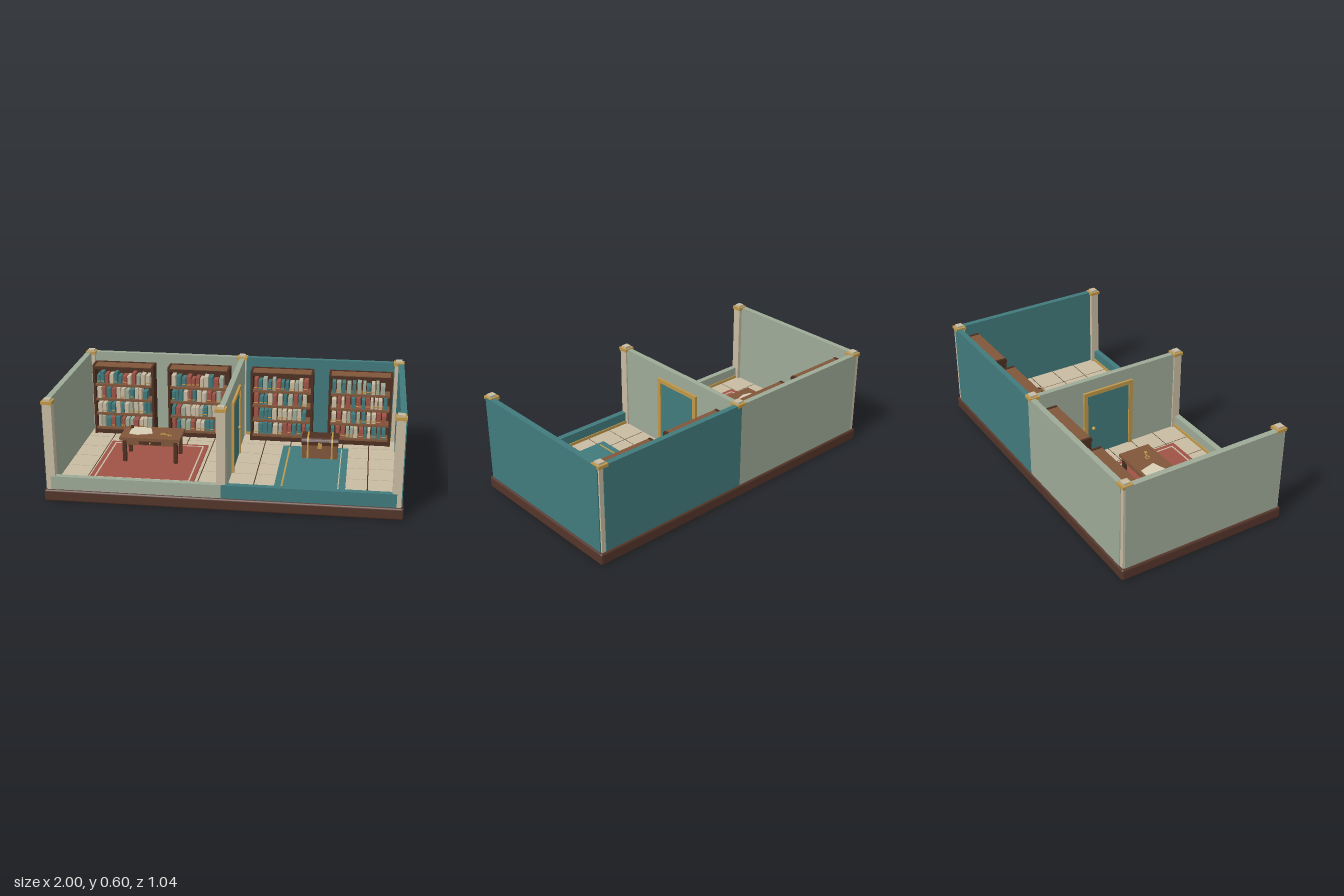
import * as THREE from 'three';
import { RoundedBoxGeometry } from 'three/addons/geometries/RoundedBoxGeometry.js';

const mat = (name, color) => Object.assign(new THREE.MeshStandardMaterial({ color }), { name });
const M = {
  base: mat('base brown', 0x53352a),
  dark: mat('dark wood', 0x4e3022),
  wood: mat('warm wood', 0x80563a),
  sage: mat('sage', 0x9eaa97),
  teal: mat('teal', 0x417a7c),
  cream: mat('cream', 0xc8bca2),
  red: mat('brick red', 0xa05346),
  gold: mat('brass', 0xc0984a),
  paper: mat('paper', 0xd8cfb4),
};

let seed = 7;
const rand = () => (seed = (seed * 16807) % 2147483647) / 2147483647;

function group(parent, name) {
  const g = new THREE.Group();
  g.name = name;
  parent.add(g);
  return g;
}
function add(parent, name, geo, material, x = 0, y = 0, z = 0) {
  const m = new THREE.Mesh(geo, material);
  m.name = name;
  m.position.set(x, y, z);
  parent.add(m);
  return m;
}
// Box given by its limits on each axis
function box(parent, name, material, x0, x1, y0, y1, z0, z1) {
  return add(parent, name, new THREE.BoxGeometry(x1 - x0, y1 - y0, z1 - z0), material,
    (x0 + x1) / 2, (y0 + y1) / 2, (z0 + z1) / 2);
}

const FLOOR = 0.077, TOP = 0.585;

function buildFloor(root) {
  add(root, 'base', new RoundedBoxGeometry(2, 0.07, 1.036, 3, 0.012), M.base, 0, 0.035, 0);
  const floor = group(root, 'floor');
  box(floor, 'grout', M.dark, -0.97, 0.97, 0.068, 0.074, -0.49, 0.49);
  const tile = new THREE.BoxGeometry(0.154, 0.009, 0.154);
  for (let i = 0; i < 12; i++)
    for (let j = 0; j < 6; j++)
      add(floor, 'tile', tile, M.cream, -0.88 + i * 0.16, FLOOR - 0.0045, -0.4 + j * 0.16);
}

function buildWalls(root) {
  const walls = group(root, 'walls');
  for (const [s, m] of [[-1, M.sage], [1, M.teal]]) {
    const a = Math.min(0, s * 0.96), b = Math.max(0, s * 0.96);
    box(walls, 'backWall', m, a, b, 0.072, TOP, -0.51, -0.478);
    box(walls, 'frontLowWall', m, a, b, 0.072, 0.15, 0.476, 0.511);
    box(walls, 'sideWall', m, Math.min(s * 0.957, s * 0.991), Math.max(s * 0.957, s * 0.991), 0.072, TOP, -0.497, 0.497);
    box(walls, 'frontSkirting', M.gold, a, b, 0.072, 0.095, 0.47, 0.476);
    box(walls, 'backSkirting', M.gold, a, b, 0.072, 0.095, -0.478, -0.472);
  }
  box(walls, 'partition', M.sage, -0.016, 0.016, 0.072, TOP, -0.48, 0.48);

  // Posts with brass caps
  for (const x of [-0.96, 0, 0.96])
    for (const z of [-0.481, 0.481]) {
      const p = group(root, 'post');
      p.position.set(x, 0, z);
      box(p, 'shaft', M.cream, -0.025, 0.025, 0.07, 0.574, -0.025, 0.025);
      box(p, 'cap', M.gold, -0.031, 0.031, 0.572, 0.59, -0.031, 0.031);
      box(p, 'capTop', M.cream, -0.019, 0.019, 0.588, 0.601, -0.019, 0.019);
    }
}

function buildDoor(root) {
  const door = group(root, 'door');
  box(door, 'doorPanel', M.teal, -0.021, 0.021, FLOOR, 0.49, -0.145, 0.14);
  box(door, 'frameSide', M.gold, -0.03, 0.03, FLOOR, 0.51, -0.167, -0.142);
  box(door, 'frameSide', M.gold, -0.03, 0.03, FLOOR, 0.51, 0.137, 0.162);
  box(door, 'frameTop', M.gold, -0.03, 0.03, 0.485, 0.51, -0.142, 0.137);
  for (const s of [-1, 1])
    add(door, 'knob', new THREE.SphereGeometry(0.011, 12, 8), M.gold, s * 0.028, 0.26, -0.105);
}

function buildBookcase(root, x) {
  const c = group(root, 'bookcase');
  c.position.set(x, 0, -0.42);
  const w = 0.193;
  box(c, 'backPanel', M.dark, -w, w, FLOOR, 0.53, -0.05, -0.038);
  for (const s of [-1, 1]) box(c, 'sidePanel', M.dark, s * 0.186 - 0.007, s * 0.186 + 0.007, FLOOR, 0.53, -0.04, 0.048);
  box(c, 'topBoard', M.wood, -0.18, 0.18, 0.51, 0.526, -0.04, 0.05);
  box(c, 'topRail', M.dark, -w, w, 0.505, 0.522, 0.044, 0.053);
  box(c, 'kickboard', M.dark, -0.18, 0.18, FLOOR, 0.108, -0.04, 0.042);
  for (let r = 0; r < 4; r++) {
    const y = 0.12 + r * 0.0955;
    box(c, 'shelf', M.wood, -0.18, 0.18, y - 0.014, y, -0.04, 0.047);
    // Books with some brass bands
    const colours = [M.teal, M.cream, M.red, M.sage, M.teal, M.red, M.cream];
    let bx = -0.172;
    while (bx < 0.152) {
      const bw = 0.017 + rand() * 0.01, h = 0.05 + rand() * 0.024, f = 0.028 + rand() * 0.01;
      box(c, 'book', colours[Math.floor(rand() * 7)], bx, bx + bw, y, y + h, -0.035, f);
      if (rand() < 0.5) box(c, 'bookBand', M.gold, bx, bx + bw, y + 0.01, y + 0.016, f - 0.002, f + 0.0015);
      bx += bw + 0.004 + rand() * 0.006;
    }
  }
}

function buildRugs(root) {
  const red = group(root, 'redRug');
  box(red, 'rug', M.red, -0.785, -0.18, FLOOR - 0.002, 0.084, -0.235, 0.36);
  const X0 = -0.76, X1 = -0.205, Z0 = -0.21, Z1 = 0.335, t = 0.009;
  for (const [a, b, c, d] of [[X0, X1, Z0, Z0 + t], [X0, X1, Z1 - t, Z1], [X0, X0 + t, Z0 + t, Z1 - t], [X1 - t, X1, Z0 + t, Z1 - t]])
    box(red, 'border', M.cream, a, b, 0.083, 0.0855, c, d);
  const teal = group(root, 'tealRug');
  box(teal, 'rug', M.teal, 0.278, 0.677, FLOOR - 0.002, 0.084, -0.292, 0.38);
  box(teal, 'brassStripe', M.gold, 0.315, 0.325, 0.083, 0.0855, -0.27, 0.36);
  box(teal, 'creamStripe', M.cream, 0.633, 0.639, 0.083, 0.0855, -0.27, 0.36);
}

function buildTable(root) {
  const t = group(root, 'table');
  t.position.set(-0.482, 0, -0.004);
  box(t, 'tableTop', M.wood, -0.18, 0.18, 0.22, 0.238, -0.098, 0.098);
  box(t, 'apron', M.wood, -0.15, 0.15, 0.187, 0.22, -0.078, 0.078);
  box(t, 'drawer', M.dark, -0.065, 0.065, 0.192, 0.215, 0.077, 0.081);
  add(t, 'drawerKnob', new THREE.SphereGeometry(0.006, 10, 8), M.gold, 0, 0.203, 0.085);
  for (const x of [-0.153, 0.153])
    for (const z of [-0.078, 0.078])
      box(t, 'leg', M.dark, x - 0.011, x + 0.011, 0.082, 0.22, z - 0.011, z + 0.011);

  // Sheet of paper with a clipped outline
  const pts = [[-0.62, -0.088], [-0.505, -0.085], [-0.478, 0.012], [-0.565, 0.04], [-0.618, 0.025]];
  const shape = new THREE.Shape(pts.map(([x, z]) => new THREE.Vector2(x, -z)));
  const sheet = new THREE.ExtrudeGeometry(shape, { depth: 0.003, bevelEnabled: false }).rotateX(-Math.PI / 2);
  add(root, 'paper', sheet, M.paper, 0, 0.238, 0);
  add(root, 'inkPot', new THREE.CylinderGeometry(0.009, 0.011, 0.018, 12), M.dark, -0.618, 0.247, -0.068);

  // Key lying on the table
  const key = group(root, 'key');
  key.position.set(-0.415, 0.241, 0.015);
  key.rotation.y = -0.3;
  add(key, 'keyRing', new THREE.TorusGeometry(0.012, 0.003, 6, 16).rotateX(Math.PI / 2), M.gold);
  box(key, 'keyShaft', M.gold, 0.012, 0.06, -0.002, 0.002, -0.0025, 0.0025);
  for (const x of [0.042, 0.054]) box(key, 'keyTooth', M.gold, x, x + 0.005, -0.002, 0.002, 0, 0.014);
}

function buildChest(root) {
  const c = group(root, 'chest');
  c.position.set(0.51, 0, -0.167);
  box(c, 'chestBody', M.wood, -0.105, 0.105, 0.083, 0.172, -0.062, 0.062);
  // Low arched lid, with slightly larger slices as straps
  const arch = (len, g) => {
    const s = new THREE.Shape();
    s.moveTo(-0.068 - g, 0);
    s.lineTo(0.068 + g, 0);
    s.lineTo(0.068 + g, 0.022);
    s.quadraticCurveTo(0.06, 0.042 + g, 0.035, 0.044 + g);
    s.lineTo(-0.035, 0.044 + g);
    s.quadraticCurveTo(-0.06, 0.042 + g, -0.068 - g, 0.022);
    return new THREE.ExtrudeGeometry(s, { depth: len, bevelEnabled: false, curveSegments: 5 })
      .translate(0, 0, -len / 2).rotateY(Math.PI / 2);
  };
  add(c, 'chestLid', arch(0.22, 0), M.dark, 0, 0.17, 0);
  for (const x of [-0.072, 0.072]) {
    add(c, 'lidStrap', arch(0.01, 0.003), M.gold, x, 0.17, 0);
    box(c, 'bodyStrap', M.gold, x - 0.005, x + 0.005, 0.083, 0.172, -0.065, 0.065);
  }
  box(c, 'lock', M.gold, -0.012, 0.012, 0.152, 0.186, 0.06, 0.073);
}

export function createModel() {
  const root = new THREE.Group();
  root.name = 'twoRoomLibrary';
  buildFloor(root);
  buildWalls(root);
  buildDoor(root);
  for (const x of [-0.738, -0.263, 0.255, 0.735]) buildBookcase(root, x);
  buildRugs(root);
  buildTable(root);
  buildChest(root);
  return root;
}
